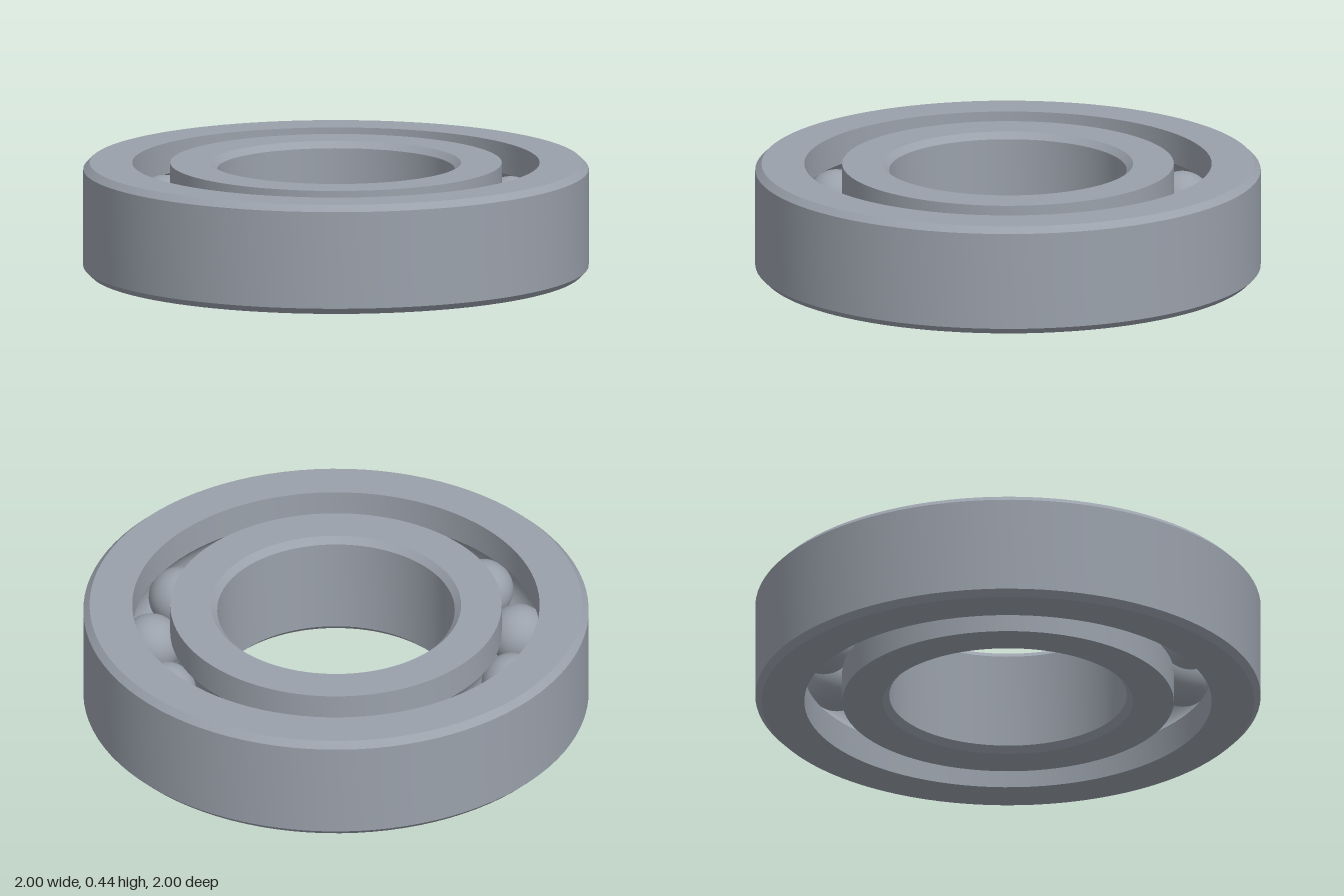
import * as THREE from 'three';
import { toCreasedNormals } from 'three/addons/utils/BufferGeometryUtils.js';

const HEIGHT = 0.438, MID = HEIGHT / 2, CHAMFER = 0.025;
const PITCH = 0.732, BALL_R = 0.12, BALLS = 13;

// Arc of a ball groove where it cuts the wall at radius r; dir = +1 cuts outward, -1 inward
function groove(r, dir) {
  const half = Math.acos(Math.abs(r - PITCH) / BALL_R);
  const points = [];
  for (let i = 0; i <= 14; i++) {
    const a = half * (1 - i / 7);
    points.push([PITCH + dir * BALL_R * Math.cos(a), MID + dir * BALL_R * Math.sin(a)]);
  }
  return points;
}

// Closed counter-clockwise section turned into a ring with sharp edges
function ring(name, section, material) {
  const points = [...section, section[0]].map(([r, y]) => new THREE.Vector2(r, y));
  const geometry = toCreasedNormals(new THREE.LatheGeometry(points, 96), Math.PI / 6);
  const mesh = new THREE.Mesh(geometry, material);
  mesh.name = name;
  return mesh;
}

export function createModel() {
  const model = new THREE.Group();
  model.name = 'ballBearing';
  const steel = new THREE.MeshStandardMaterial({ color: 0x9aa1ab });
  steel.name = 'steel';

  // Outer ring: chamfered outer rim, grooved inner wall
  const wallOut = 0.806;
  model.add(ring('outerRing', [
    [wallOut, 0], [1 - CHAMFER, 0], [1, CHAMFER], [1, HEIGHT - CHAMFER],
    [1 - CHAMFER, HEIGHT], [wallOut, HEIGHT], ...groove(wallOut, 1),
  ], steel));

  // Inner ring: chamfered bore, grooved outer wall
  const wallIn = 0.656, bore = 0.47;
  model.add(ring('innerRing', [
    [bore + CHAMFER, 0], [wallIn, 0], ...groove(wallIn, -1), [wallIn, HEIGHT],
    [bore + CHAMFER, HEIGHT], [bore, HEIGHT - CHAMFER], [bore, CHAMFER],
  ], steel));

  // Balls running in the grooves
  const balls = new THREE.Group();
  balls.name = 'balls';
  const ballGeometry = new THREE.SphereGeometry(BALL_R, 36, 24);
  for (let i = 0; i < BALLS; i++) {
    const a = THREE.MathUtils.degToRad(12) + (i / BALLS) * Math.PI * 2;
    const ball = new THREE.Mesh(ballGeometry, steel);
    ball.name = 'ball';
    ball.position.set(PITCH * Math.cos(a), MID, PITCH * Math.sin(a));
    balls.add(ball);
  }
  model.add(balls);
  return model;
}
